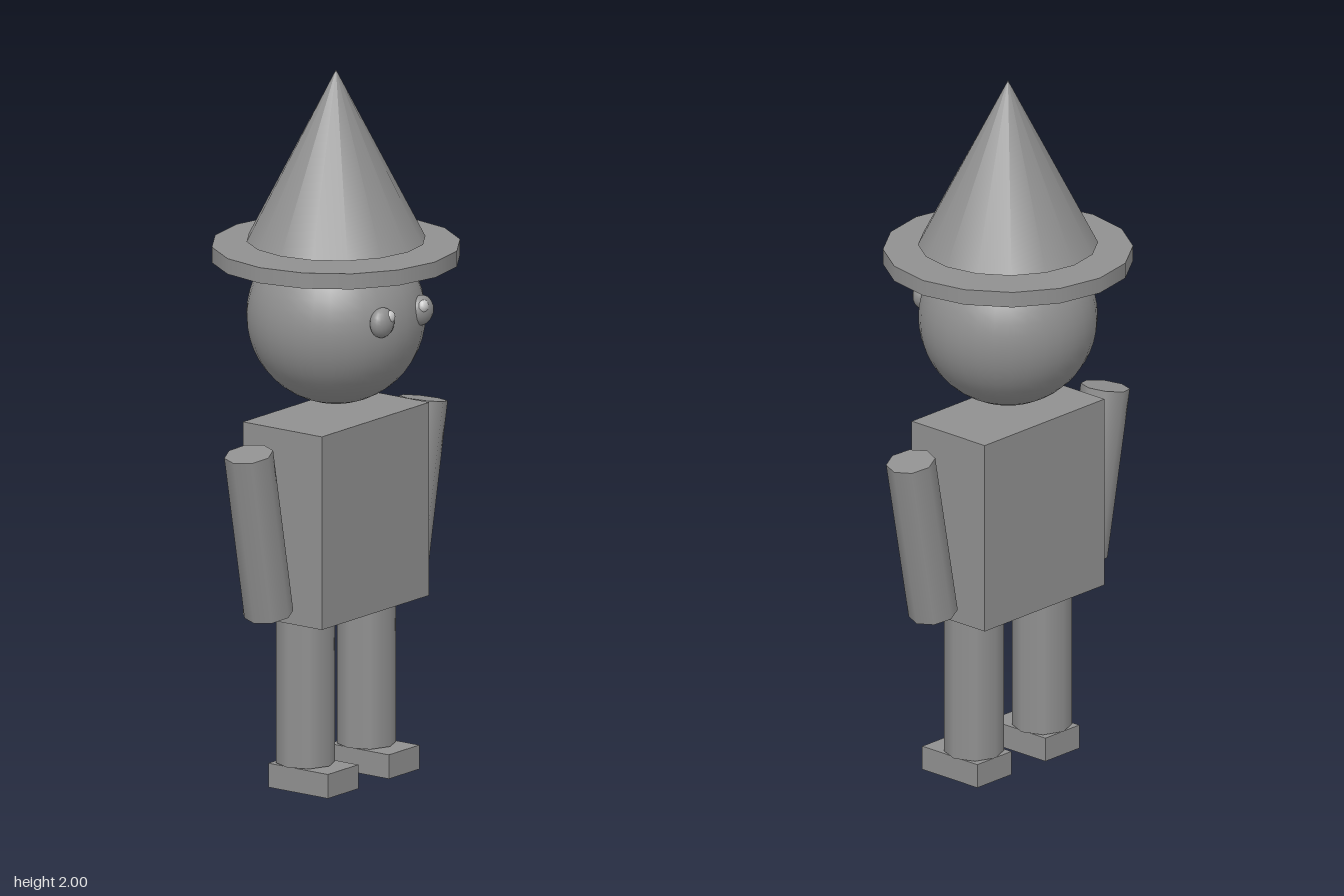
import * as THREE from 'three';

export function createModel() {
  const model = new THREE.Group();
  const grey = new THREE.MeshStandardMaterial({ color: 0x909090 });
  const light = new THREE.MeshStandardMaterial({ color: 0xe0e0e0 });

  const add = (name, geometry, x, y, z, material = grey) => {
    const mesh = new THREE.Mesh(geometry, material);
    mesh.name = name;
    mesh.position.set(x, y, z);
    model.add(mesh);
    return mesh;
  };

  // Torso and head
  add('torso', new THREE.BoxGeometry(0.482, 0.546, 0.273), 0, 0.758, 0);
  add('head', new THREE.SphereGeometry(0.246, 32, 24), 0, 1.308, 0);

  // Hat: flat brim with a cone floating just above it
  add('hatBrim', new THREE.CylinderGeometry(0.343, 0.343, 0.044, 16), 0, 1.487, 0);
  add('hatCone', new THREE.ConeGeometry(0.247, 0.479, 16), 0, 1.7605, 0);

  // Paired parts, mirrored across x
  for (const [side, s] of [['left', 1], ['right', -1]]) {
    // Arm splays outward toward its top
    const arm = add(side + 'Arm', new THREE.CylinderGeometry(0.068, 0.068, 0.479, 8), s * 0.347, 0.756, 0);
    arm.rotation.z = -s * 0.19;

    // Leg and foot, the toe pointing forward
    add(side + 'Leg', new THREE.CylinderGeometry(0.082, 0.082, 0.415, 8), s * 0.137, 0.2775, 0);
    add(side + 'Foot', new THREE.BoxGeometry(0.137, 0.068, 0.206), s * 0.137, 0.034, 0.027);

    // Flattened eye with a small light highlight
    const eye = add(side + 'Eye', new THREE.SphereGeometry(0.042, 16, 12), s * 0.088, 1.337, 0.227);
    eye.scale.z = 0.68;
    const highlight = add(side + 'EyeHighlight', new THREE.SphereGeometry(0.018, 12, 8), s * 0.075, 1.353, 0.244, light);
    highlight.scale.z = 0.75;
  }

  return model;
}
